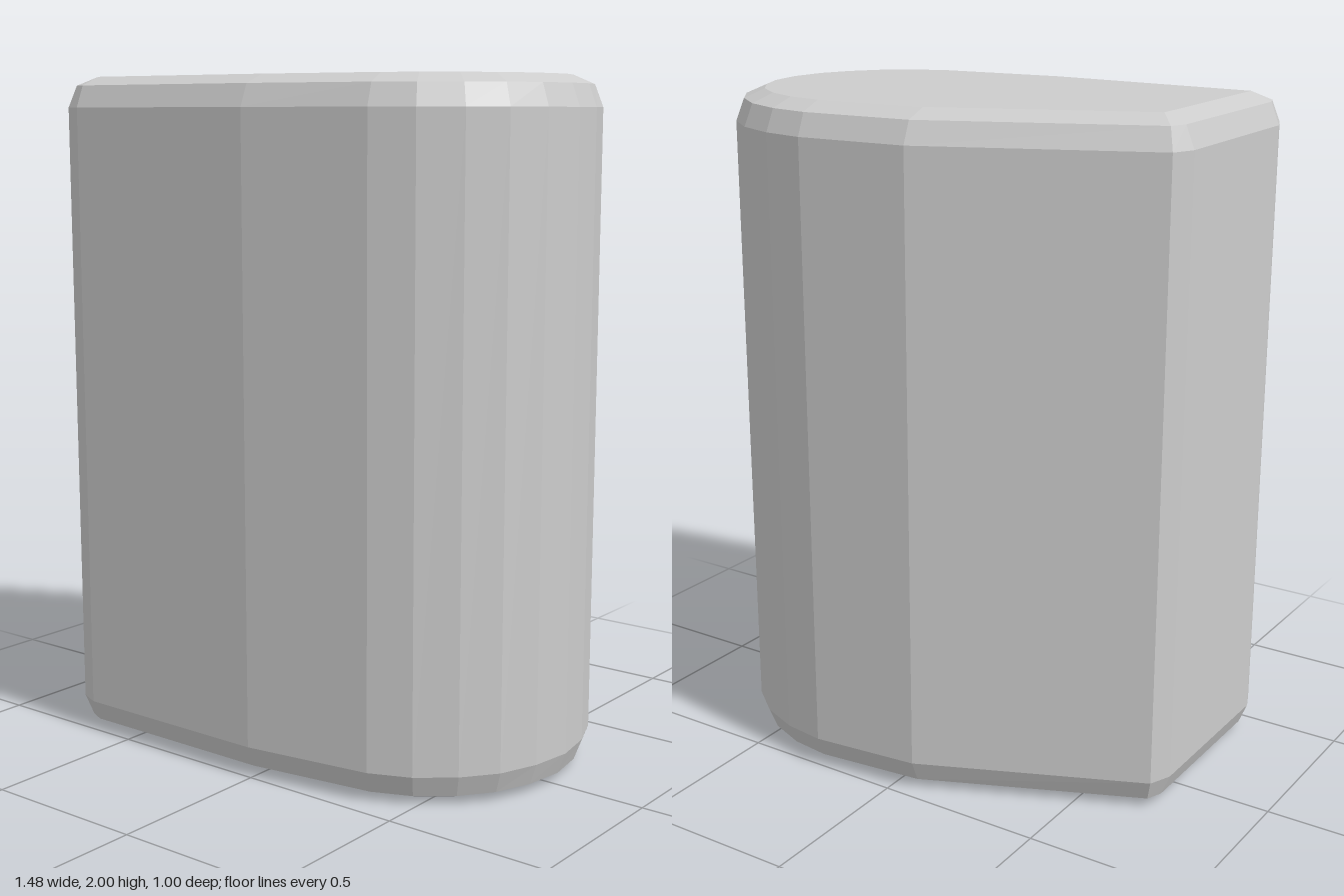
import * as THREE from 'three';

// Footprint, counter-clockwise from above: outer x, z and inner (cap) x, z
const OUTLINE = [
  [-0.74, 0.41, -0.65, 0.41], [-0.715, 0.472, -0.65, 0.41], [-0.65, 0.5, -0.65, 0.41],
  [-0.01, 0.5, -0.01, 0.41], [0.38, 0.445, 0.36, 0.36], [0.5, 0.395, 0.455, 0.32],
  [0.6, 0.315, 0.54, 0.255], [0.675, 0.22, 0.6, 0.175], [0.72, 0.105, 0.64, 0.085],
  [0.74, -0.02, 0.655, -0.02], [0.72, -0.145, 0.64, -0.13], [0.675, -0.26, 0.6, -0.22],
  [0.6, -0.36, 0.54, -0.3], [0.5, -0.44, 0.455, -0.365], [0.38, -0.488, 0.36, -0.403],
  [0.255, -0.505, 0.255, -0.415], [-0.07, -0.47, -0.07, -0.38],
  [-0.712, -0.187, -0.65, -0.12], [-0.74, -0.12, -0.65, -0.12],
];

// Bevelled profile: height and how far each ring moves to the inner outline
const PROFILE = [[0, 1], [0.026, 0.29], [0.09, 0], [1.91, 0], [1.974, 0.29], [2, 1]];

function bevelledPrism() {
  const rings = PROFILE.map(([y, t]) => OUTLINE.map(([x, z, ix, iz]) =>
    new THREE.Vector3(x + (ix - x) * t, y, z + (iz - z) * t)));
  const positions = [];
  const triangle = new THREE.Triangle();
  const add = (a, b, c) => {
    // Skip the triangles that collapse at the cap corners
    if (triangle.set(a, b, c).getArea() > 1e-7) {
      for (const p of [a, b, c]) positions.push(p.x, p.y, p.z);
    }
  };
  const n = OUTLINE.length;
  const last = rings.length - 1;
  const bottomCentre = new THREE.Vector3(0, 0, 0);
  const topCentre = new THREE.Vector3(0, 2, 0);
  for (let i = 0; i < n; i++) {
    const j = (i + 1) % n;
    for (let r = 0; r < last; r++) {
      const low = rings[r], high = rings[r + 1];
      add(low[i], low[j], high[j]);
      add(low[i], high[j], high[i]);
    }
    add(topCentre, rings[last][i], rings[last][j]);
    add(bottomCentre, rings[0][j], rings[0][i]);
  }
  const geometry = new THREE.BufferGeometry();
  geometry.setAttribute('position', new THREE.Float32BufferAttribute(positions, 3));
  geometry.computeVertexNormals();
  return geometry;
}

export function createModel() {
  const group = new THREE.Group();
  group.name = 'bevelledBlock';
  const grey = new THREE.MeshStandardMaterial({ color: 0xcccccc, flatShading: true });
  grey.name = 'light grey';
  const body = new THREE.Mesh(bevelledPrism(), grey);
  body.name = 'body';
  group.add(body);
  return group;
}
